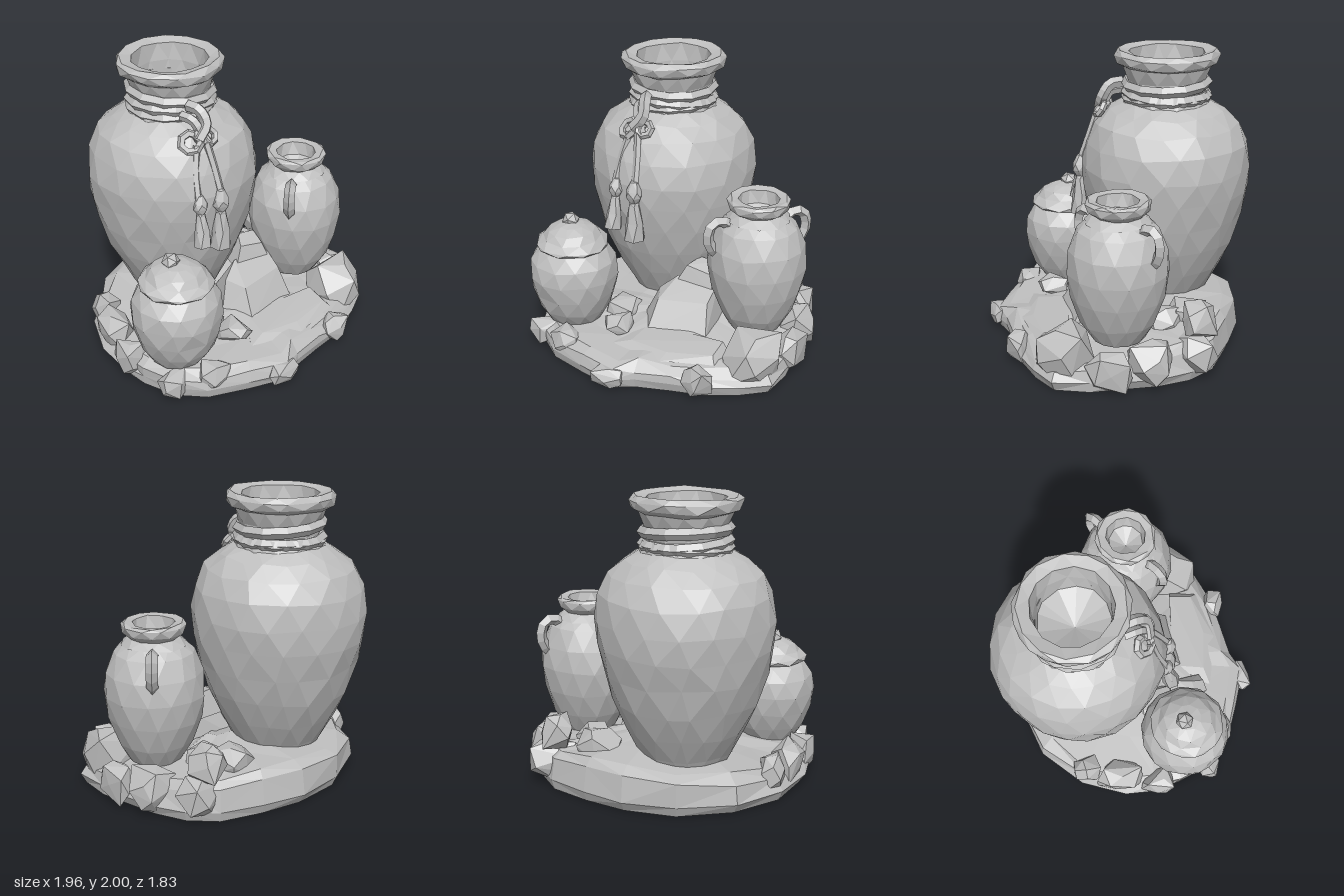
import * as THREE from 'three';
import { ConvexGeometry } from 'three/addons/geometries/ConvexGeometry.js';

const clay = new THREE.MeshStandardMaterial({ color: 0xbfbfbf, flatShading: true });
clay.name = 'grey clay';

// repeatable noise in -1..1
const noise = (a, b = 0) => {
  const s = Math.sin(a * 127.1 + b * 311.7 + 17.3) * 43758.5453;
  return (s - Math.floor(s)) * 2 - 1;
};
const V = (p) => new THREE.Vector3(...p);

function add(parent, name, geometry, pos = [0, 0, 0], rot = [0, 0, 0]) {
  const mesh = new THREE.Mesh(geometry, clay);
  mesh.name = name;
  mesh.position.set(...pos);
  mesh.rotation.set(...rot);
  parent.add(mesh);
  return mesh;
}

// turned shape whose rows are staggered and slightly uneven, like hand-cut facets
function turned(profile, seg, rough = 0.012) {
  const rows = profile.length;
  const g = new THREE.LatheGeometry(profile.map(([r, y]) => new THREE.Vector2(r, y)), seg);
  const p = g.attributes.position, idx = [];
  for (let k = 0; k < p.count; k++) {
    const j = k % rows, i = Math.floor(k / rows) % seg;
    const [r, y] = profile[j];
    const a = ((i + (j % 2) * 0.5 + noise(i, j) * 0.17) / seg) * Math.PI * 2;
    const rr = r * (1 + noise(i + 40, j) * rough);
    p.setXYZ(k, Math.sin(a) * rr, y + noise(i, j + 60) * rough * Math.min(1, r * 2), Math.cos(a) * rr);
  }
  // always cut each quad along its shorter diagonal
  for (let i = 0; i < seg; i++) for (let j = 0; j < rows - 1; j++) {
    const a = i * rows + j, b = a + rows, c = b + 1, d = a + 1;
    idx.push(...(j % 2 ? [a, b, c, a, c, d] : [a, b, d, c, d, b]));
  }
  g.setIndex(idx);
  g.computeVertexNormals();
  return g;
}

// angular boulder: hull of uneven points pushed towards a box
function boulder(seed, [x, y, z], [sx, sy, sz], turn = 0) {
  const pts = [], n = 15;
  for (let i = 0; i < n; i++) {
    const h = 1 - (2 * (i + 0.5)) / n, a = i * 2.4 + seed + noise(i, seed) * 0.35, w = Math.sqrt(1 - h * h);
    const v = V([Math.cos(a) * w, h, Math.sin(a) * w]);
    const m = Math.max(Math.abs(v.x), Math.abs(v.y), Math.abs(v.z));
    v.multiplyScalar((1.02 + noise(i, seed + 5) * 0.08) / Math.pow(m, 0.75));
    v.multiply(V([sx, sy, sz])).applyAxisAngle(V([0, 1, 0]), turn).add(V([x, y, z]));
    v.x = Math.max(-1, Math.min(1, v.x));
    v.y = Math.max(0.01, v.y);
    pts.push(v);
  }
  return new ConvexGeometry(pts);
}

const block = (pts) => new ConvexGeometry(pts.map(V));
const tube = (pts, r, steps = 8, sides = 5) =>
  new THREE.TubeGeometry(new THREE.CatmullRomCurve3(pts.map(V)), steps, r, sides, false);

// rocky ground slab lofted from one outline
function slab() {
  const outline = [
    [-0.95, -0.25], [-0.97, 0.08], [-0.93, 0.3], [-0.85, 0.48], [-0.7, 0.68], [-0.5, 0.79], [-0.2, 0.82],
    [0.08, 0.83], [0.2, 0.73], [0.42, 0.62], [0.62, 0.53], [0.82, 0.38], [0.96, 0.22], [0.95, -0.02],
    [0.88, -0.22], [0.8, -0.45], [0.68, -0.65], [0.5, -0.79], [0.2, -0.85], [-0.1, -0.87], [-0.45, -0.8], [-0.76, -0.57]];
  const rings = [[0.97, 0], [1, 0.07], [0.98, 0.13], [0.9, 0.18], [0.62, 0.2], [0.3, 0.24]];
  const n = outline.length, pos = [0, 0, 0], idx = [];
  rings.forEach(([s, y], r) => outline.forEach(([x, z], i) => {
    const k = r ? s * (1 + noise(i, r) * 0.025) : s;
    const rise = r > 1 ? Math.max(0, -z) * 0.12 + noise(i, r + 9) * 0.018 : 0;
    pos.push(x * k, y + rise, z * k);
  }));
  pos.push(0, 0.25, 0);
  const last = rings.length * n + 1;
  for (let i = 0; i < n; i++) {
    const j = (i + 1) % n;
    idx.push(0, 1 + j, 1 + i);
    for (let r = 0; r < rings.length - 1; r++) {
      const a = 1 + r * n + i, b = 1 + r * n + j;
      idx.push(...(noise(i, r + 30) > 0 ? [a, b, b + n, a, b + n, a + n] : [a, b, a + n, b, b + n, a + n]));
    }
    idx.push(last, last - n + i, last - n + j);
  }
  const g = new THREE.BufferGeometry();
  g.setAttribute('position', new THREE.Float32BufferAttribute(pos, 3));
  g.setIndex(idx);
  g.computeVertexNormals();
  return g;
}

export function createModel() {
  const model = new THREE.Group();
  model.name = 'potteryGroup';

  // ground and rocks: centre, half sizes, turn
  const ground = new THREE.Group();
  ground.name = 'rockyGround';
  model.add(ground);
  add(ground, 'groundSlab', slab());
  const rocks = [
    [[0.77, 0.19, 0.18], [0.19, 0.19, 0.19], 0.4],
    [[0.87, 0.14, -0.13], [0.09, 0.13, 0.15], 0.1],
    [[0.77, 0.17, -0.4], [0.12, 0.14, 0.15], 0.5],
    [[0.52, 0.38, -0.67], [0.1, 0.12, 0.11], 0.6],
    [[0.56, 0.17, -0.64], [0.17, 0.14, 0.12], 0.6],
    [[0.25, 0.27, -0.56], [0.14, 0.13, 0.14], 0.2],
    [[0.37, 0.26, -0.42], [0.12, 0.12, 0.12], 0.9],
    [[-0.88, 0.13, 0.3], [0.09, 0.12, 0.12], 0.3],
    [[-0.88, 0.17, 0.02], [0.1, 0.13, 0.16], 0.1],
    [[-0.87, 0.18, -0.22], [0.08, 0.12, 0.1], 0.4],
    [[-0.67, 0.1, 0.64], [0.12, 0.09, 0.08], 0.6],
    [[-0.42, 0.13, 0.71], [0.11, 0.1, 0.08], 0.1],
    [[-0.17, 0.24, 0.45], [0.1, 0.065, 0.11], 0.5],
    [[0.04, 0.08, 0.81], [0.11, 0.07, 0.08], 0.5],
    [[0.58, 0.12, 0.54], [0.1, 0.1, 0.08], 0.3],
    [[-0.3, 0.2, 0.22], [0.13, 0.1, 0.12], 0.2],
  ];
  rocks.forEach(([c, s, turn], i) => add(ground, 'rock' + (i + 1), boulder(i + 1, c, s, turn)));
  // thin ledge and stacked blocks in the middle
  add(ground, 'frontLedge', block([
    [-0.1, 0.18, 0.6], [0.3, 0.18, 0.58], [0.62, 0.18, 0.4], [0.6, 0.18, 0.2], [0, 0.18, 0.3],
    [0.02, 0.215, 0.53], [0.3, 0.21, 0.5], [0.58, 0.22, 0.36], [0.55, 0.24, 0.2], [0, 0.23, 0.3]]));
  add(ground, 'lowerBlock', block([
    [-0.14, 0.2, 0.2], [0.02, 0.2, 0.37], [0.4, 0.2, 0.2], [0.33, 0.2, -0.15], [-0.1, 0.2, -0.1],
    [-0.07, 0.41, 0.1], [0.02, 0.4, 0.24], [0.34, 0.41, 0.1], [0.31, 0.5, -0.08], [0.03, 0.5, 0.02]]));
  add(ground, 'upperBlock', block([
    [0.03, 0.45, 0.06], [0.31, 0.45, 0], [0.3, 0.45, -0.2], [0.02, 0.45, -0.16],
    [0.09, 0.59, 0], [0.27, 0.56, -0.03], [0.25, 0.61, -0.14], [0.12, 0.62, -0.12]]));

  // tall vase
  const vase = new THREE.Group();
  vase.name = 'tallVase';
  vase.position.set(-0.285, 0, -0.335);
  model.add(vase);
  add(vase, 'tallVaseBody', turned([
    [0, 0.14], [0.24, 0.15], [0.32, 0.3], [0.41, 0.47], [0.49, 0.66], [0.545, 0.85], [0.58, 1.03], [0.592, 1.2],
    [0.565, 1.36], [0.5, 1.49], [0.4, 1.58], [0.3, 1.64]], 17));
  add(vase, 'tallVaseNeck', turned([
    [0.31, 1.62], [0.27, 1.72], [0.275, 1.79], [0.305, 1.88], [0.355, 1.91],
    [0.366, 1.96], [0.335, 1.99], [0.26, 1.975], [0.245, 1.85], [0.235, 1.72], [0, 1.6]], 13));
  // rope wound round the neck
  [[1.665, 0.04, 0.03], [1.69, -0.05, -0.05], [1.765, 0.03, -0.06]].forEach(([y, tx, tz], i) =>
    add(vase, 'neckRope' + (i + 1), new THREE.TorusGeometry(0.277, 0.04, 5, 12), [0, y, 0], [Math.PI / 2 + tx, tz, i * 0.25]));

  // knot and tassels
  const knot = new THREE.Group();
  knot.name = 'ropeKnot';
  model.add(knot);
  add(knot, 'knotDrop', tube([[-0.28, 1.75, -0.03], [-0.23, 1.74, 0.05], [-0.205, 1.66, 0.1], [-0.27, 1.57, 0.13]], 0.04));
  add(knot, 'knotStrand', tube([[-0.33, 1.69, -0.02], [-0.28, 1.68, 0.06], [-0.24, 1.6, 0.1], [-0.2, 1.53, 0.13]], 0.034));
  add(knot, 'knotCore', new THREE.IcosahedronGeometry(0.06, 0), [-0.25, 1.58, 0.1]);
  add(knot, 'leftLoop', new THREE.TorusGeometry(0.05, 0.024, 5, 7), [-0.19, 1.575, 0.11], [-0.6, 0.3, 0.3]);
  add(knot, 'rightLoop', new THREE.TorusGeometry(0.065, 0.028, 5, 7), [-0.32, 1.55, 0.11], [-0.7, -0.3, -0.3]);
  const tassels = [
    ['right', [-0.29, 1.54, 0.14], [-0.32, 1.38, 0.19], [-0.33, 1.2, 0.255], [-0.32, 0.88, 0.305], 0.062],
    ['left', [-0.22, 1.54, 0.14], [-0.19, 1.38, 0.19], [-0.165, 1.2, 0.25], [-0.17, 0.815, 0.255], 0.073]];
  for (const [side, a, b, c, d, r] of tassels) {
    add(knot, side + 'Cord', tube([a, b, c], 0.026, 5));
    const tassel = add(knot, side + 'Tassel', turned([
      [0, -0.01], [r, 0], [r * 0.8, 0.12], [r * 0.5, 0.24], [r * 0.45, 0.26], [r * 0.8, 0.3],
      [r * 0.75, 0.34], [r * 0.35, 0.4], [0, 0.41]], 6, 0.02), d);
    tassel.scale.y = (c[1] - d[1]) / 0.36;
    tassel.rotation.x = Math.atan2(c[2] - d[2], c[1] - d[1]);
  }

  // lidded jar
  const jar = new THREE.Group();
  jar.name = 'liddedJar';
  jar.position.set(-0.572, 0, 0.445);
  model.add(jar);
  add(jar, 'jarBody', turned([
    [0, 0.17], [0.19, 0.18], [0.25, 0.28], [0.292, 0.4], [0.314, 0.53], [0.297, 0.64], [0.24, 0.72], [0.2, 0.76]], 12));
  add(jar, 'jarLid', turned([
    [0.2, 0.735], [0.25, 0.745], [0.252, 0.77], [0.205, 0.81], [0.165, 0.86], [0.09, 0.89], [0, 0.905]], 10), [-0.015, 0, -0.01], [0.02, 0, -0.02]);
  add(jar, 'lidKnob', new THREE.IcosahedronGeometry(0.062, 0), [-0.025, 0.905, -0.015], [0.2, 0.4, 0]);

  // two-handled jug
  const jug = new THREE.Group();
  jug.name = 'handledJug';
  jug.position.set(0.578, 0, -0.14);
  model.add(jug);
  add(jug, 'jugBody', turned([
    [0, 0.24], [0.18, 0.25], [0.255, 0.38], [0.313, 0.55], [0.339, 0.72], [0.323, 0.87], [0.265, 1.0], [0.19, 1.07]], 13));
  add(jug, 'jugNeck', turned([
    [0.22, 1.05], [0.165, 1.1], [0.205, 1.135], [0.215, 1.18], [0.195, 1.2], [0.14, 1.19], [0.12, 1.1], [0, 1.02]], 10));
  for (const [name, turn] of [['frontHandle', -2.155], ['backHandle', 0.985]]) {
    add(jug, name, tube([[0.2, 1.02, 0], [0.26, 1.06, 0], [0.325, 1.045, 0], [0.355, 0.96, 0], [0.335, 0.88, 0], [0.29, 0.83, 0]], 0.038, 7, 4),
      [0, 0, 0], [0, turn, 0]);
  }
  return model;
}
